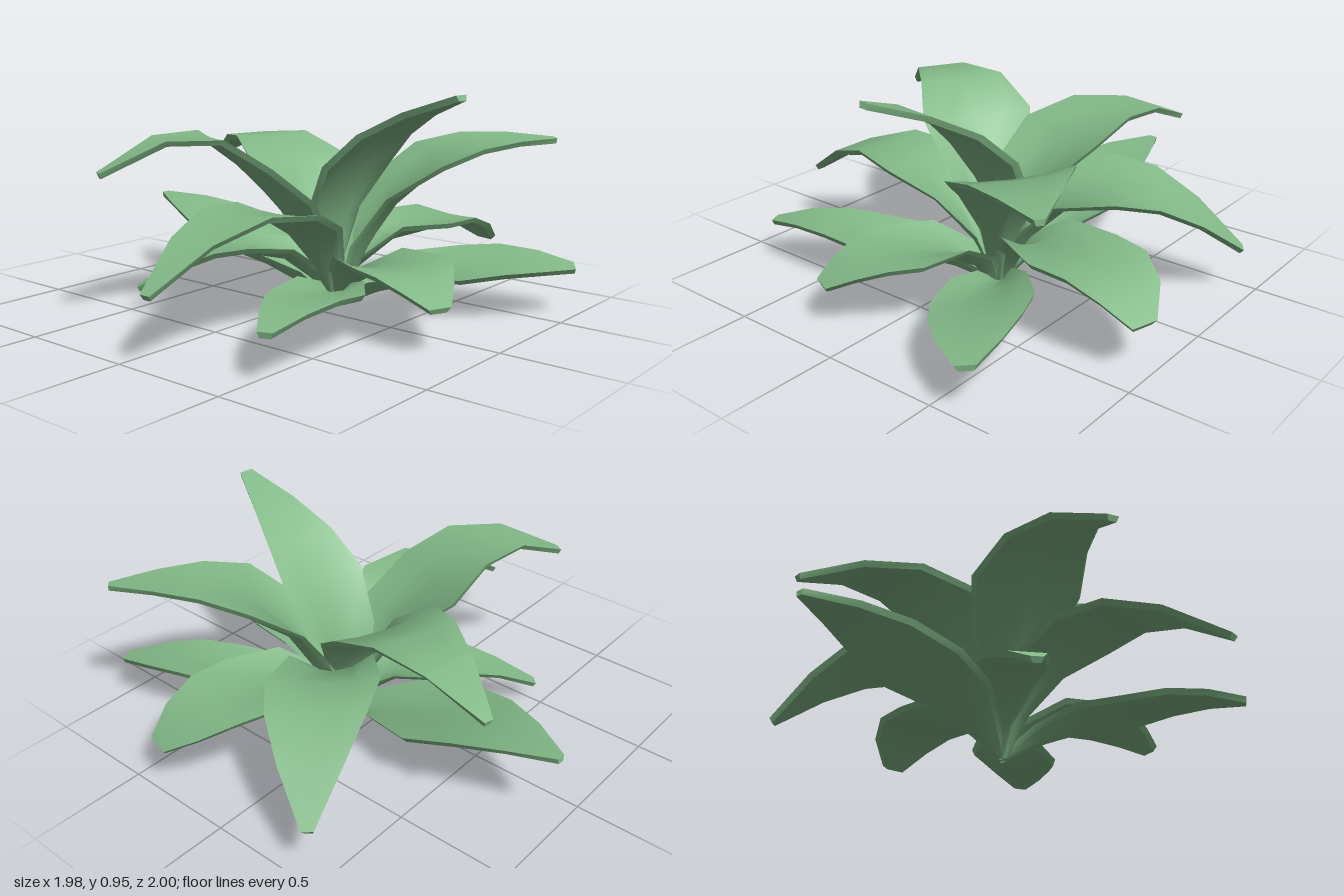
import * as THREE from 'three';

const material = new THREE.MeshStandardMaterial({ color: 0x82b987 });
const SEGMENTS = 6;
// half-width from the stalk to the widest station, channel depth from stalk to tip
const STALK = [0.13, 0.36, 0.76, 1];
const CUP = [0.6, 0.8, 0.4, 0.1, 0.05, 0, 0];

// Bends a thin slab along a curve, widening and cupping it into a leaf blade.
// fullness 1 tapers straight to the tip, larger values round the outer half.
function leaf(name, halfWidth, tipWidth, fullness, roll, ...points) {
  const tip = new THREE.Vector3(...points[points.length - 1]);
  const base = new THREE.Vector3(0.12, 0.013, 0.13);
  const out = tip.clone().sub(base).setY(0).normalize();
  base.addScaledVector(out, 0.02);
  const curve = new THREE.CatmullRomCurve3([base, ...points.map(p => new THREE.Vector3(...p))]);
  const side = new THREE.Vector3(out.z, 0, -out.x).multiplyScalar(Math.cos(roll));
  side.y = Math.sin(roll);

  const geo = new THREE.BoxGeometry(2, 1, SEGMENTS, 4, 1, SEGMENTS);
  const pos = geo.attributes.position;
  const v = new THREE.Vector3();
  for (let k = 0; k < pos.count; k++) {
    v.fromBufferAttribute(pos, k);
    const i = Math.round(v.z + SEGMENTS / 2);
    const u = i / SEGMENTS;
    const normal = curve.getTangent(u).cross(side).normalize();
    const taper = Math.pow(Math.max(2 * u - 1, 0), fullness);
    const w = i < STALK.length ? STALK[i] * halfWidth : THREE.MathUtils.lerp(halfWidth, tipWidth, taper);
    const lift = v.x * v.x * w * CUP[i] + v.y * 0.024;
    // the underside is a little narrower, so the rim faces down
    const across = v.x * (v.y < 0 ? w - Math.min(0.015, w * 0.3) : w);
    const p = curve.getPoint(u).addScaledVector(side, across).addScaledVector(normal, lift);
    pos.setXYZ(k, p.x, Math.max(p.y, 0), p.z);
  }
  geo.computeVertexNormals();
  const mesh = new THREE.Mesh(geo, material);
  mesh.name = name;
  return mesh;
}

export function createModel() {
  const plant = new THREE.Group();
  plant.name = 'leafyPlant';
  plant.add(
    // tall inner leaves
    leaf('tallFrontLeaf', 0.2, 0.03, 1.4, 0,
      [0.12, 0.3, 0.15], [0.115, 0.62, 0.26], [0.085, 0.82, 0.48], [0.025, 0.945, 0.79]),
    leaf('tallFrontLeftLeaf', 0.25, 0.02, 1.2, 0.08,
      [0.25, 0.36, 0.25], [0.41, 0.63, 0.42], [0.61, 0.71, 0.6], [0.81, 0.71, 0.79]),
    leaf('tallRightLeaf', 0.25, 0.025, 1.2, 0,
      [-0.03, 0.34, 0.04], [-0.2, 0.62, -0.1], [-0.43, 0.775, -0.21], [-0.77, 0.63, -0.36]),
    leaf('tallBackLeaf', 0.24, 0.02, 1.3, 0,
      [0.16, 0.35, 0.01], [0.21, 0.6, -0.19], [0.31, 0.69, -0.48], [0.41, 0.57, -0.82]),
    // arching middle leaves
    leaf('middleRightLeaf', 0.22, 0.025, 1.4, 0,
      [-0.06, 0.27, 0.14], [-0.3, 0.46, 0.15], [-0.62, 0.475, 0.13], [-0.98, 0.27, 0.13]),
    leaf('middleBackLeftLeaf', 0.23, 0.025, 1.7, 0.1,
      [0.28, 0.32, 0.04], [0.52, 0.47, -0.12], [0.73, 0.42, -0.26], [0.95, 0.2, -0.43]),
    leaf('middleLeftLeaf', 0.22, 0.06, 2, 0,
      [0.28, 0.23, 0.17], [0.58, 0.31, 0.25], [0.82, 0.31, 0.3], [0.97, 0.2, 0.37]),
    // low spreading leaves
    leaf('lowFrontLeftLeaf', 0.2, 0.04, 1.8, 0.15,
      [0.25, 0.1, 0.33], [0.4, 0.18, 0.58], [0.53, 0.22, 0.8], [0.65, 0.2, 0.98]),
    leaf('lowFrontLeaf', 0.22, 0.05, 1.3, 0,
      [0.06, 0.17, 0.29], [-0.035, 0.26, 0.57], [-0.12, 0.25, 0.72], [-0.19, 0.18, 0.85]),
    leaf('lowFrontRightLeaf', 0.18, 0.03, 1.3, 0,
      [-0.1, 0.12, 0.28], [-0.35, 0.18, 0.41], [-0.6, 0.22, 0.49], [-0.82, 0.18, 0.55]),
    leaf('lowBackLeaf', 0.24, 0.02, 1.4, 0,
      [0.12, 0.1, -0.1], [0.13, 0.23, -0.42], [0.15, 0.33, -0.72], [0.18, 0.355, -1.0]),
    leaf('lowBackRightLeaf', 0.17, 0.025, 1.1, 0,
      [0.02, 0.18, 0.02], [-0.14, 0.265, -0.16], [-0.3, 0.23, -0.29], [-0.49, 0.1, -0.46]),
  );
  return plant;
}
